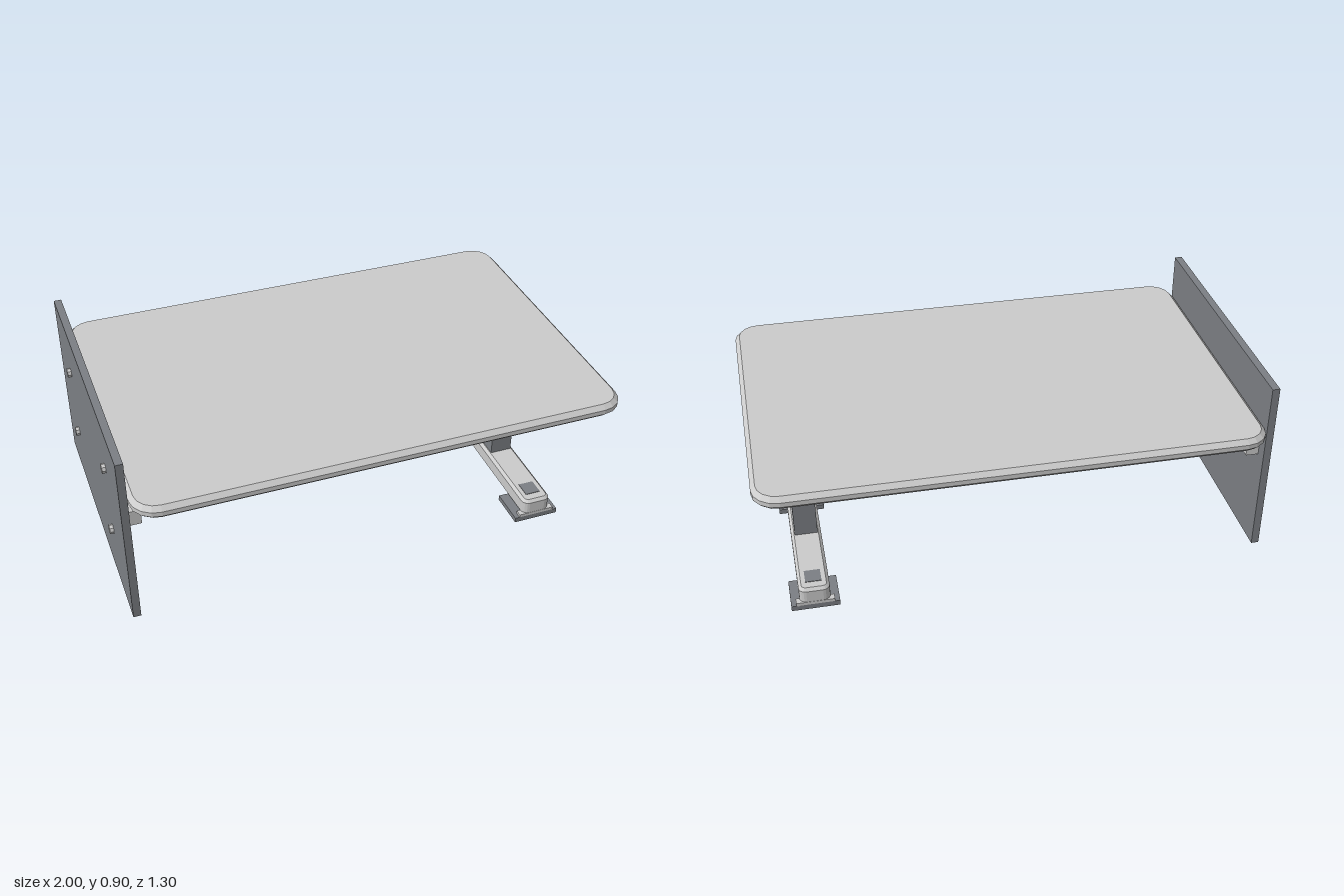
import * as THREE from 'three';

const light = new THREE.MeshStandardMaterial({ color: 0xcccccc, flatShading: true });
const dark = new THREE.MeshStandardMaterial({ color: 0x7c7f84, flatShading: true });
const amber = new THREE.MeshStandardMaterial({ color: 0xdcb469, flatShading: true });

export function createModel() {
  const model = new THREE.Group();

  const add = (name, geometry, material) => {
    const mesh = new THREE.Mesh(geometry, material);
    mesh.name = name;
    model.add(mesh);
    return mesh;
  };

  // Box given by its lower and upper limits on each axis
  const box = (name, material, x0, x1, y0, y1, z0, z1) => {
    const mesh = add(name, new THREE.BoxGeometry(x1 - x0, y1 - y0, z1 - z0), material);
    mesh.position.set((x0 + x1) / 2, (y0 + y1) / 2, (z0 + z1) / 2);
    return mesh;
  };

  // Horizontal slab with rounded corners and chamfered top and bottom edges
  const slab = (name, material, x0, x1, y0, y1, halfDepth, radius, bevel) => {
    const w = (x1 - x0) / 2 - bevel, d = halfDepth - bevel, r = radius - bevel;
    const shape = new THREE.Shape();
    shape.absarc(w - r, d - r, r, 0, Math.PI / 2);
    shape.absarc(-w + r, d - r, r, Math.PI / 2, Math.PI);
    shape.absarc(-w + r, -d + r, r, Math.PI, Math.PI * 1.5);
    shape.absarc(w - r, -d + r, r, Math.PI * 1.5, Math.PI * 2);
    const geometry = new THREE.ExtrudeGeometry(shape, {
      depth: y1 - y0 - 2 * bevel, curveSegments: 2,
      bevelEnabled: true, bevelSegments: 1, bevelSize: bevel, bevelThickness: bevel,
    });
    geometry.rotateX(-Math.PI / 2);
    const mesh = add(name, geometry, material);
    mesh.position.set((x0 + x1) / 2, y0 + bevel, 0);
    return mesh;
  };

  // Tabletop
  slab('tabletop', light, -0.95, 1, 0.68, 0.735, 0.65, 0.1, 0.018);

  // Wall panel with four bolts
  box('wallPanel', dark, -0.985, -0.955, 0.17, 0.9, -0.57, 0.57);
  for (const y of [0.41, 0.705]) {
    for (const z of [-0.325, 0.325]) {
      const bolt = add('panelBolt', new THREE.CylinderGeometry(0.019, 0.019, 0.02, 8), light);
      bolt.rotation.z = Math.PI / 2;
      bolt.position.set(-0.99, y, z);
    }
  }

  // Wall rail and the two brackets that carry the tabletop
  box('wallRail', light, -0.955, -0.905, 0.575, 0.638, -0.52, 0.52);
  for (const s of [-1, 1]) {
    const z = s * 0.327;
    box('bracketBlock', dark, -0.905, -0.84, 0.56, 0.681, z - 0.08, z + 0.08);
    box('bracketArm', dark, -0.955, -0.55, 0.6, 0.681, z - 0.045, z + 0.045);
  }

  // Leg column and the crossbar beneath the tabletop
  box('crossbar', dark, 0.755, 0.85, 0.6, 0.681, -0.49, 0.49);
  box('legColumn', dark, 0.755, 0.85, 0.09, 0.6, -0.047, 0.047);

  // Foot with a pad and a top inlay at each end
  slab('foot', light, 0.74, 0.865, 0.024, 0.1, 0.405, 0.03, 0.012);
  for (const s of [-1, 1]) {
    const z = s * 0.325;
    box('footPad', dark, 0.705, 0.9, 0, 0.022, z - 0.08, z + 0.08);
    box('padSpacer', light, 0.725, 0.88, 0.02, 0.035, s * 0.39 - 0.015, s * 0.39 + 0.015);
    box('footInlay', dark, 0.77, 0.835, 0.095, 0.102, z - 0.035, z + 0.035);
  }

  // Control box with its button
  box('controlBox', dark, 0.725, 0.88, 0.265, 0.395, 0.045, 0.067);
  box('controlButton', amber, 0.77, 0.836, 0.303, 0.357, 0.06, 0.073);

  return model;
}
